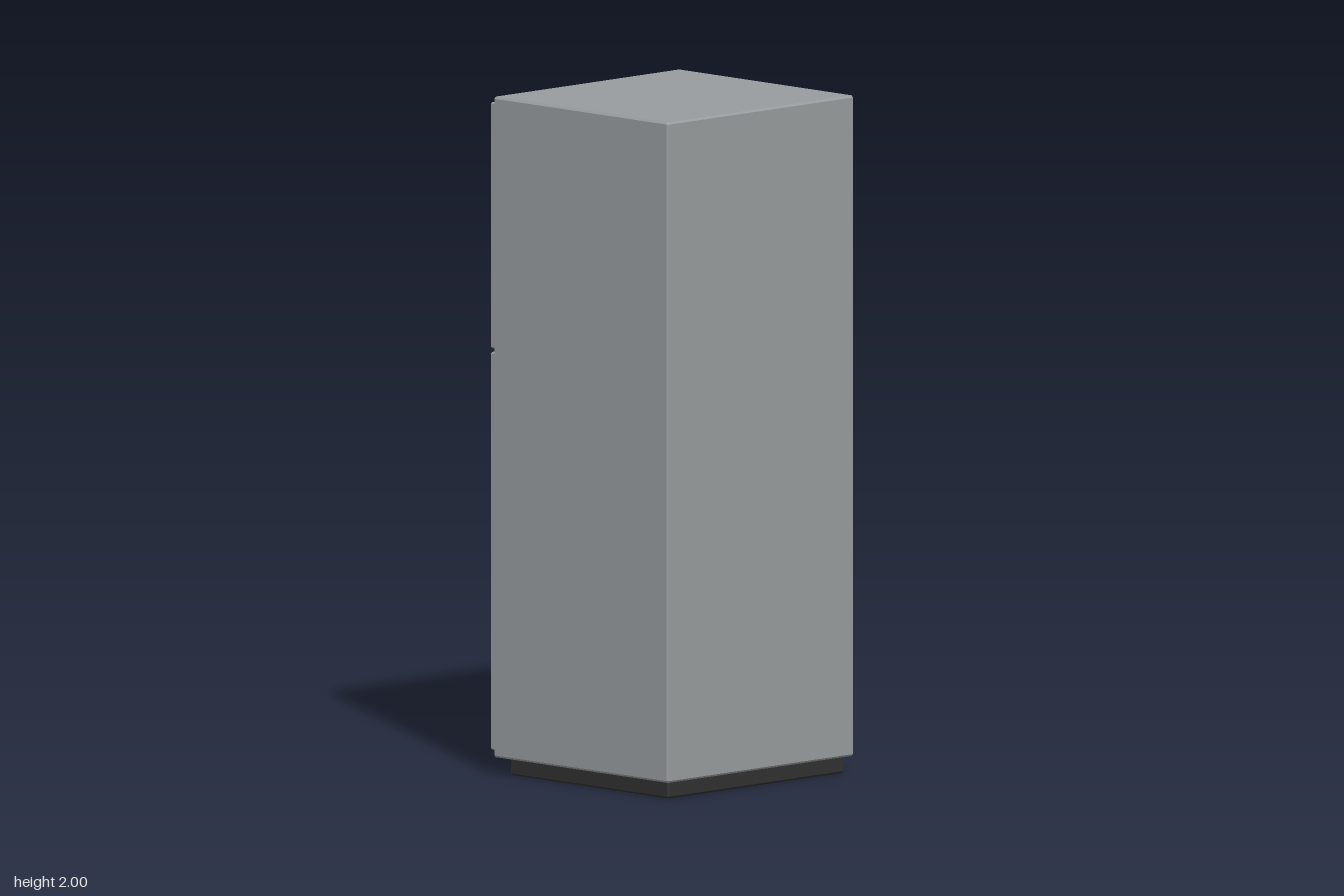
import * as THREE from 'three';
import { ConvexGeometry } from 'three/addons/geometries/ConvexGeometry.js';

const bodyGrey = new THREE.MeshStandardMaterial({ color: 0x979b9d });
const handleGrey = new THREE.MeshStandardMaterial({ color: 0xb0b3b5 });
const dark = new THREE.MeshStandardMaterial({ color: 0x303030 });

// Box with chamfered edges, given by its minimum and maximum corners
function block(name, min, max, chamfer, material) {
  const half = max.map((v, i) => (v - min[i]) / 2);
  const points = [];
  for (const sx of [-1, 1]) for (const sy of [-1, 1]) for (const sz of [-1, 1]) {
    // three points per corner, each touching one face
    for (let face = 0; face < 3; face++) {
      points.push(new THREE.Vector3(
        ...[sx, sy, sz].map((s, i) => s * (half[i] - (i === face ? 0 : chamfer)))));
    }
  }
  const mesh = new THREE.Mesh(new ConvexGeometry(points), material);
  mesh.position.set(...max.map((v, i) => (v + min[i]) / 2));
  mesh.name = name;
  return mesh;
}

// Upright bar with chamfered ends, half sunk into the door
function handle(name, y0, y1) {
  const r = 0.0125, c = 0.004, h = y1 - y0;
  const profile = [[0, 0], [r - c, 0], [r, c], [r, h - c], [r - c, h], [0, h]];
  // doubled corner points keep the chamfers crisp
  const points = profile.flatMap(([x, y], i) =>
    Array.from({ length: i === 0 || i === 5 ? 1 : 2 }, () => new THREE.Vector2(x, y)));
  const mesh = new THREE.Mesh(new THREE.LatheGeometry(points, 20), handleGrey);
  mesh.position.set(0.294, y0, -0.367);
  mesh.name = name;
  return mesh;
}

export function createModel() {
  const fridge = new THREE.Group();
  fridge.name = 'refrigerator';

  // Cabinet on a recessed dark plinth
  fridge.add(block('plinth', [-0.363, 0, -0.297], [0.363, 0.056, 0.36], 0.006, dark));
  fridge.add(block('cabinet', [-0.383, 0.05, -0.346], [0.383, 2, 0.379], 0.006, bodyGrey));

  // Doors with their handles, on the -z side
  const doors = [
    { name: 'freezerDoor', y: [1.254, 1.98], bar: [1.322, 1.802] },
    { name: 'fridgeDoor', y: [0.069, 1.243], bar: [0.602, 1.162] },
  ];
  for (const { name, y, bar } of doors) {
    const group = new THREE.Group();
    group.name = name;
    group.add(block(name + 'Panel', [-0.373, y[0], -0.368], [0.373, y[1], -0.346], 0.004, bodyGrey));
    group.add(handle(name + 'Handle', bar[0], bar[1]));
    fridge.add(group);
  }
  return fridge;
}
